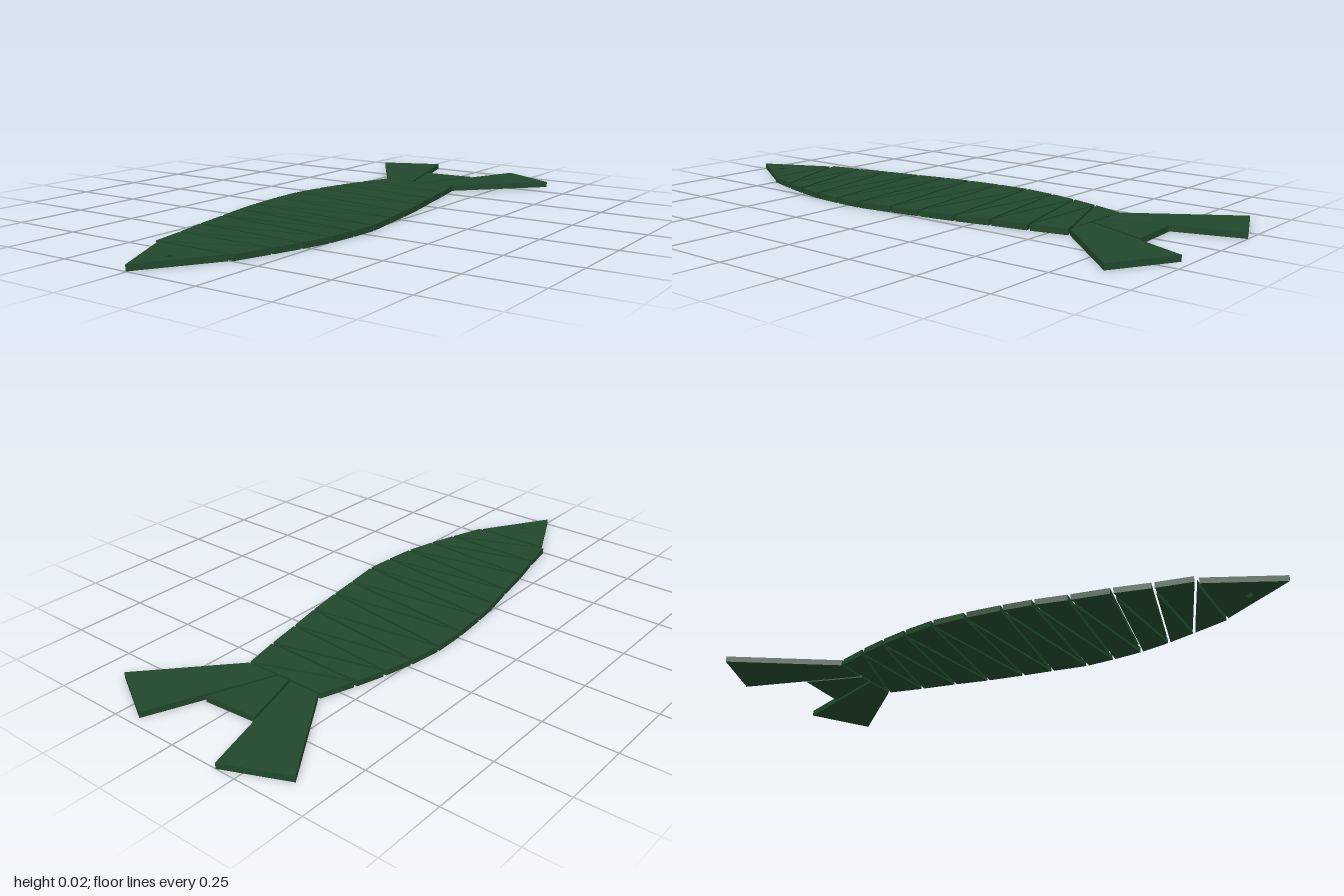
import * as THREE from 'three';

const THICKNESS = 0.02;
const HALF_GAP = 0.005;

// Points are [x, z] on the ground plane
const toVectors = (pts) => pts.map(([x, z]) => new THREE.Vector2(x, -z));

// Triangle whose two sides meeting at the apex are pulled in, leaving the outer edge on the outline
function gapTriangle(apex, p, q) {
  const [a, b, c] = toVectors([apex, p, q]);
  const toB = b.clone().sub(a).normalize();
  const toC = c.clone().sub(a).normalize();
  const base = c.clone().sub(b).normalize();
  const half = Math.acos(toB.dot(toC)) / 2;
  const tip = a.clone().addScaledVector(toB.clone().add(toC).normalize(), HALF_GAP / Math.sin(half));
  const nearB = b.clone().addScaledVector(base, HALF_GAP / Math.abs(base.cross(toB)));
  const nearC = c.clone().addScaledVector(base, -HALF_GAP / Math.abs(base.cross(toC)));
  return [tip, nearB, nearC];
}

export function createModel() {
  const fish = new THREE.Group();
  fish.name = 'fish';
  const material = new THREE.MeshStandardMaterial({ color: 0x21482b, flatShading: true });

  // Flat plate lying on the ground
  function plate(name, points, hole) {
    const shape = new THREE.Shape(points);
    if (hole) shape.holes.push(new THREE.Path(hole));
    const geometry = new THREE.ExtrudeGeometry(shape, { depth: THICKNESS, bevelEnabled: false });
    geometry.rotateX(-Math.PI / 2);
    const mesh = new THREE.Mesh(geometry, material);
    mesh.name = name;
    fish.add(mesh);
  }

  // Head with a small eye hole
  plate('head',
    toVectors([[-1, -0.005], [-0.755, 0.148], [-0.755, -0.125]]),
    toVectors([[-0.876, 0.01], [-0.85, 0.022], [-0.858, 0.043], [-0.874, 0.035]]));

  // Zigzag strip of body triangles between the back and belly outlines
  const back = [
    [-0.75, -0.14], [-0.62, -0.165], [-0.495, -0.195], [-0.36, -0.22],
    [-0.245, -0.245], [-0.14, -0.26], [-0.01, -0.272], [0.115, -0.275],
    [0.235, -0.258], [0.34, -0.235], [0.445, -0.205], [0.567, -0.163],
  ];
  const belly = [
    [-0.75, 0.158], [-0.62, 0.2], [-0.52, 0.23], [-0.41, 0.255],
    [-0.3, 0.265], [-0.195, 0.27], [-0.065, 0.25], [0.045, 0.235],
    [0.18, 0.212], [0.305, 0.185], [0.435, 0.16], [0.567, 0.13],
  ];
  for (let i = 0; i < back.length - 1; i++) {
    plate('bellySegment', gapTriangle(back[i], belly[i], belly[i + 1]));
    plate('backSegment', gapTriangle(belly[i + 1], back[i + 1], back[i]));
  }

  // Three tail fins
  plate('upperTailFin', toVectors([[0.57, -0.163], [0.57, -0.05], [1, -0.178], [0.908, -0.39]]));
  plate('middleTailFin', toVectors([[0.57, -0.04], [0.57, 0.003], [0.788, 0.09], [0.775, -0.102]]));
  plate('lowerTailFin', toVectors([[0.57, 0.013], [0.57, 0.13], [0.853, 0.39], [0.97, 0.178]]));

  return fish;
}
